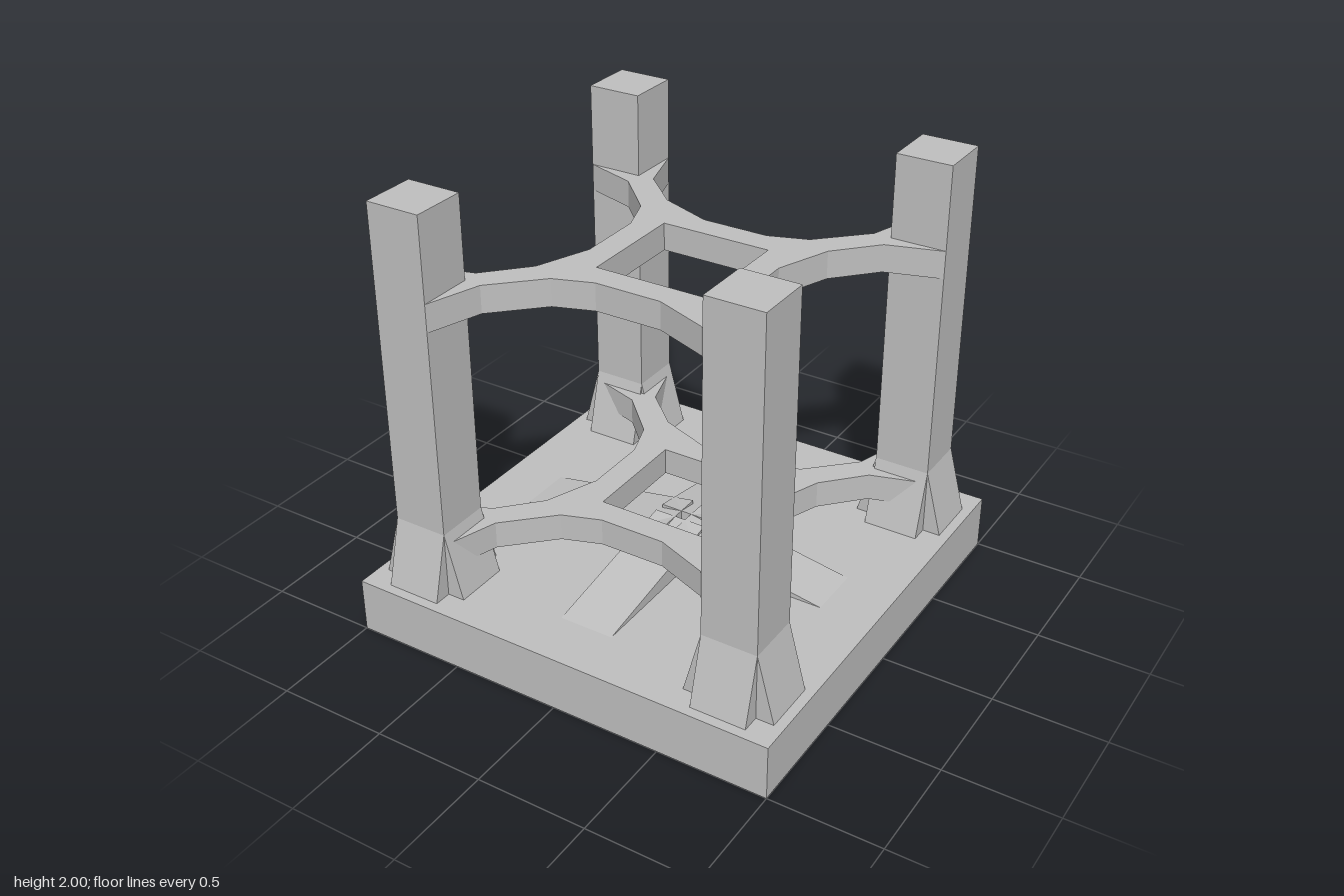
import * as THREE from 'three';

const grey = new THREE.MeshStandardMaterial({ color: 0xc0c0c0 });
grey.name = 'stone grey';

function box(name, w, h, d, x, y, z) {
  const mesh = new THREE.Mesh(new THREE.BoxGeometry(w, h, d), grey);
  mesh.name = name;
  mesh.position.set(x, y, z);
  return mesh;
}

// Triangular prism: upright face at x = inner, sloping down to x = outer
function wedge(name, inner, outer, height, width) {
  const profile = new THREE.Shape([
    new THREE.Vector2(inner, 0),
    new THREE.Vector2(outer, 0),
    new THREE.Vector2(inner, height),
  ]);
  const geo = new THREE.ExtrudeGeometry(profile, { depth: width, bevelEnabled: false });
  geo.translate(0, 0, -width / 2);
  const mesh = new THREE.Mesh(geo, grey);
  mesh.name = name;
  return mesh;
}

// X-shaped brace: one arched edge turned four times, with a square opening
function braceGeometry(thickness) {
  const arch = [
    [-0.625, 0.875], [-0.547, 0.63], [-0.348, 0.433], [-0.176, 0.372],
    [0.128, 0.372], [0.372, 0.465], [0.55, 0.63], [0.625, 0.875], [0.75, 0.75],
  ];
  const outline = [];
  for (let side = 0; side < 4; side++) {
    for (const point of arch) {
      let [x, z] = point;
      for (let i = 0; i < side; i++) [x, z] = [z, -x];
      outline.push(new THREE.Vector2(x, -z));
    }
  }
  const shape = new THREE.Shape(outline);
  const h = 0.252;
  shape.holes.push(new THREE.Path([
    new THREE.Vector2(-h, -h), new THREE.Vector2(-h, h),
    new THREE.Vector2(h, h), new THREE.Vector2(h, -h),
  ]));
  const geo = new THREE.ExtrudeGeometry(shape, { depth: thickness, bevelEnabled: false });
  geo.rotateX(-Math.PI / 2);
  return geo;
}

export function createModel() {
  const model = new THREE.Group();
  model.name = 'fourPostFrame';

  model.add(box('basePlate', 2, 0.25, 2, 0, 0.125, 0));

  // Corner posts, each with four sloping buttresses at its foot
  for (const sx of [-1, 1]) {
    for (const sz of [-1, 1]) {
      const corner = new THREE.Group();
      corner.name = 'cornerPost';
      corner.position.set(sx * 0.75, 0.25, sz * 0.75);
      corner.add(box('post', 0.25, 1.75, 0.25, 0, 0.875, 0));
      for (let i = 0; i < 4; i++) {
        const buttress = wedge('buttress', 0.125, 0.205, 0.3, 0.25);
        buttress.rotation.y = i * Math.PI / 2;
        corner.add(buttress);
      }
      model.add(corner);
    }
  }

  // Lower and upper braces
  const braceGeo = braceGeometry(0.125);
  for (const [name, y] of [['lowerBrace', 0.375], ['upperBrace', 1.5]]) {
    const brace = new THREE.Mesh(braceGeo, grey);
    brace.name = name;
    brace.position.y = y;
    model.add(brace);
  }

  // Four ramps rising to a small pit in the middle of the base
  for (let i = 0; i < 4; i++) {
    const ramp = wedge('ramp', 0.025, 0.755, 0.125, 0.25);
    ramp.position.y = 0.25;
    ramp.rotation.y = i * Math.PI / 2;
    model.add(ramp);
  }

  return model;
}
